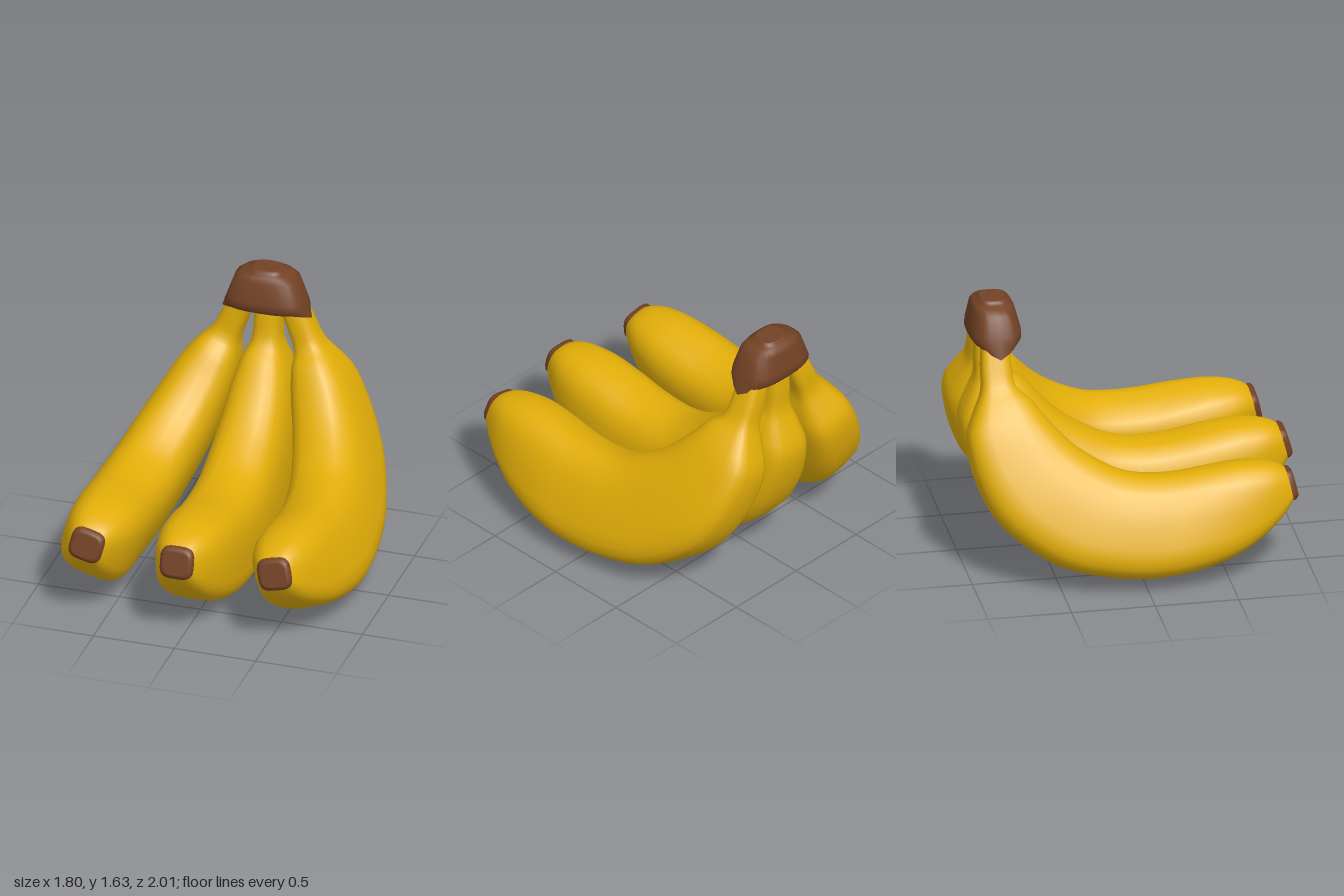
import * as THREE from 'three';

const SIDES = 24;

// Signed power, used for rounded-square cross-sections
const soft = (v, n) => Math.sign(v) * Math.pow(Math.abs(v), 2 / n);

// Loft closed rings; each station is [innerZ, innerY, outerZ, outerY, halfWidth].
// nIn and nOut set how square the inner and outer halves of each ring are.
function loft(stations, nIn, nOut, bend = (p) => p) {
  const pos = [], idx = [];
  for (const [az, ay, bz, by, w] of stations) {
    for (let j = 0; j < SIDES; j++) {
      const t = (j / SIDES) * Math.PI * 2;
      const n = j < SIDES / 2 ? nIn : nOut;
      const c = soft(Math.cos(t), n), s = soft(Math.sin(t), n);
      const p = bend(new THREE.Vector3(
        w * c,
        (ay + by) / 2 + ((ay - by) / 2) * s,
        (az + bz) / 2 + ((az - bz) / 2) * s
      ));
      pos.push(p.x, p.y, p.z);
    }
  }
  for (let i = 0; i < stations.length - 1; i++) {
    for (let j = 0; j < SIDES; j++) {
      const k = (j + 1) % SIDES;
      const a = i * SIDES + j, b = i * SIDES + k;
      idx.push(a, b, a + SIDES, b, b + SIDES, a + SIDES);
    }
  }
  // End caps with their own vertices, so the rims stay crisp
  [0, stations.length - 1].forEach((r, end) => {
    const [az, ay, bz, by] = stations[r];
    const base = pos.length / 3;
    for (let j = 0; j < SIDES; j++) {
      const q = (r * SIDES + j) * 3;
      pos.push(pos[q], pos[q + 1], pos[q + 2]);
    }
    pos.push(0, (ay + by) / 2, (az + bz) / 2);
    for (let j = 0; j < SIDES; j++) {
      const a = base + j, b = base + ((j + 1) % SIDES);
      if (end) idx.push(base + SIDES, a, b);
      else idx.push(base + SIDES, b, a);
    }
  });
  const g = new THREE.BufferGeometry();
  g.setAttribute('position', new THREE.Float32BufferAttribute(pos, 3));
  g.setIndex(idx);
  g.computeVertexNormals();
  return g;
}

// Smoothly resample stations along the length
function refine(stations, steps) {
  const curve = (f) => new THREE.CatmullRomCurve3(stations.map(f), false, 'catmullrom', 0.5);
  const inner = curve((s) => new THREE.Vector3(0, s[1], s[0]));
  const outer = curve((s) => new THREE.Vector3(s[4], s[3], s[2]));
  return Array.from({ length: steps + 1 }, (_, i) => {
    const a = inner.getPoint(i / steps), b = outer.getPoint(i / steps);
    return [a.z, a.y, b.z, b.y, b.x];
  });
}

// Fruit from stem to blossom end
const FRUIT = [
  [-0.73, 1.46, -0.89, 1.46, 0.074],
  [-0.715, 1.3, -0.9, 1.28, 0.08],
  [-0.69, 1.16, -0.9, 1.13, 0.09],
  [-0.6, 1.08, -0.95, 0.99, 0.135],
  [-0.5, 0.96, -0.99, 0.83, 0.177],
  [-0.36, 0.82, -0.92, 0.55, 0.205],
  [-0.21, 0.72, -0.76, 0.3, 0.222],
  [-0.06, 0.652, -0.45, 0.09, 0.23],
  [0.1, 0.63, -0.13, 0.015, 0.235],
  [0.28, 0.64, 0.15, 0.005, 0.235],
  [0.45, 0.67, 0.4, 0.05, 0.235],
  [0.65, 0.697, 0.62, 0.135, 0.22],
  [0.8, 0.69, 0.78, 0.24, 0.185],
  [0.88, 0.67, 0.9, 0.355, 0.14],
  [0.925, 0.645, 0.975, 0.46, 0.1],
];

const TIP = [
  [0.92, 0.648, 0.97, 0.455, 0.103],
  [0.94, 0.65, 0.985, 0.46, 0.102],
  [0.957, 0.638, 0.998, 0.475, 0.09],
  [0.962, 0.625, 1.0, 0.49, 0.078],
];

// Crown as [y, frontZ, backZ, halfWidth], top to bottom
const CROWN = [
  [1.63, -0.72, -0.86, 0.085],
  [1.622, -0.705, -0.872, 0.1],
  [1.605, -0.7, -0.877, 0.108],
  [1.6, -0.68, -0.9, 0.15],
  [1.57, -0.662, -0.915, 0.192],
  [1.45, -0.63, -0.938, 0.235],
  [1.41, -0.63, -0.94, 0.25],
  [1.38, -0.65, -0.92, 0.235],
];

export function createModel() {
  const yellow = new THREE.MeshStandardMaterial({ color: 0xe2ae08 });
  yellow.name = 'yellow peel';
  const brown = new THREE.MeshStandardMaterial({ color: 0x734225 });
  brown.name = 'brown stem';

  const model = new THREE.Group();
  model.name = 'bananaBunch';

  const fruit = refine(FRUIT, 42);
  const axis = new THREE.Vector3(0, 0, 1);

  // Three fruits hanging from a pivot above the crown; the outer two are a little shorter and lower
  const pivot = new THREE.Vector3(0, 1.78, -0.8);
  for (const side of [-1, 0, 1]) {
    const outer = Math.abs(side);
    const banana = new THREE.Group();
    banana.name = ['rightBanana', 'middleBanana', 'leftBanana'][side + 1];
    banana.position.set(0.014 * side, pivot.y - 0.047 * outer, pivot.z + 0.03 * outer);
    banana.rotation.set(0.036 * outer, 0.058 * side, 0.388 * side);
    banana.scale.z = 1 - 0.016 * outer;

    // The outer fruits untwist towards the blossom end
    const untwist = (p) => {
      p.y -= 0.54;
      p.applyAxisAngle(axis, -0.17 * side * THREE.MathUtils.smoothstep(p.z, 0.25, 0.95));
      p.y += 0.54;
      return p;
    };
    const peel = new THREE.Mesh(loft(fruit, 2.6, 3.4, untwist), yellow);
    peel.name = 'peel';
    const tip = new THREE.Mesh(loft(TIP, 3.6, 3.6, untwist), brown);
    tip.name = 'blossomTip';
    for (const m of [peel, tip]) {
      m.position.copy(pivot).negate();
      banana.add(m);
    }
    model.add(banana);
  }

  // Crown, with a pointed flap drooping over each outer stem
  const flap = (p) => {
    if (p.y < 1.4 && Math.abs(p.x) > 0.17) {
      const k = Math.max(0, 1 - Math.abs(p.z + 0.785) / 0.11);
      p.y -= 0.05 * k;
      p.x += Math.sign(p.x) * 0.042 * k;
    }
    return p;
  };
  const crown = new THREE.Mesh(loft(CROWN.map(([y, f, b, w]) => [f, y, b, y, w]), 2.9, 2.9, flap), brown);
  crown.name = 'crown';
  model.add(crown);

  return model;
}
